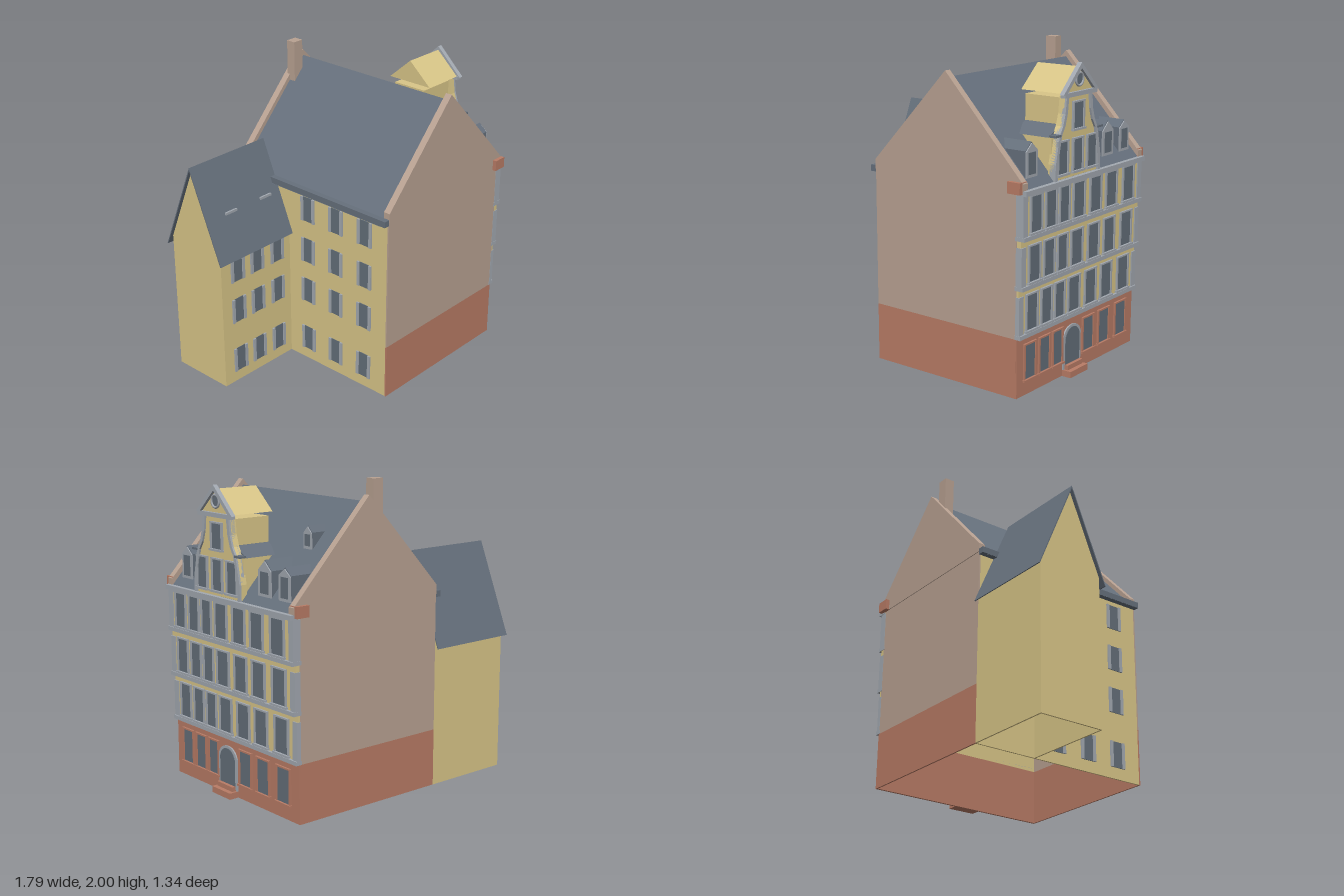
import * as THREE from 'three';

const mat = (name, color) => {
  const m = new THREE.MeshStandardMaterial({ color, side: THREE.DoubleSide });
  m.name = name;
  return m;
};

export function createModel() {
  const house = new THREE.Group();
  house.name = 'townhouse';
  const yellow = mat('yellow plaster', 0xd9c688);
  const brown = mat('brown plaster', 0xb9a292);
  const red = mat('red sandstone', 0xb97c66);
  const slate = mat('slate', 0x66707c);
  const stone = mat('pale stone', 0xa3a9b1);
  const glass = mat('window glass', 0x646f79);

  const add = (name, geo, m, parent = house) => {
    const mesh = new THREE.Mesh(geo, m);
    mesh.name = name;
    parent.add(mesh);
    return mesh;
  };
  // Box given by its limits on each axis
  const box = (name, m, x0, x1, y0, y1, z0, z1, parent) => {
    const b = add(name, new THREE.BoxGeometry(x1 - x0, y1 - y0, z1 - z0), m, parent);
    b.position.set((x0 + x1) / 2, (y0 + y1) / 2, (z0 + z1) / 2);
    return b;
  };
  const poly = pts => new THREE.Shape(pts.map(p => new THREE.Vector2(...p)));
  const extrude = (shape, depth) =>
    new THREE.ExtrudeGeometry(shape, { depth, bevelEnabled: false, curveSegments: 10 });
  // Outline in (z, y) pushed along x, centred on z = zc
  const alongX = (name, m, shape, x0, x1, zc) => {
    const e = add(name, extrude(shape, x1 - x0).rotateY(Math.PI / 2), m);
    e.position.set(x0, 0, zc);
    return e;
  };
  const alongZ = (name, m, shape, z0, z1) => {
    const e = add(name, extrude(shape, z1 - z0), m);
    e.position.z = z0;
    return e;
  };
  // Window facing its local +z: glass, jambs and optional lintel and sill
  const windowAt = (x, z, turn, w, y0, y1, trim, jamb = 0.013, full = true) => {
    const g = new THREE.Group();
    g.name = 'window';
    g.position.set(x, 0, z);
    g.rotation.y = turn;
    house.add(g);
    const h = w / 2;
    box('pane', glass, -h, h, y0, y1, -0.004, 0.004, g);
    for (const s of [-1, 1]) {
      const a = s * h, b = s * (h + jamb);
      box('jamb', trim, Math.min(a, b), Math.max(a, b), y0, y1, -0.004, 0.011, g);
    }
    if (!full) return;
    box('lintel', trim, -h - jamb, h + jamb, y1, y1 + 0.01, -0.004, 0.013, g);
    box('sill', trim, -h - jamb - 0.006, h + jamb + 0.006, y0 - 0.013, y0, -0.004, 0.018, g);
  };
  const EAST = Math.PI / 2;

  // Outer walls, open underneath
  for (const s of [-1, 1]) {
    const z0 = s > 0 ? 0.63 : -0.64;
    box('sideBase', red, -0.27, 0.82, 0, 0.37, z0, z0 + 0.01);
    box('sideWall', brown, -0.27, 0.82, 0.37, 1.25, z0, z0 + 0.01);
    // Gable with raised parapet
    const g0 = s > 0 ? 0.6 : -0.645;
    alongZ('gable', brown, poly([[-0.27, 1.25], [0.865, 1.25], [0.865, 1.31], [0.295, 1.91], [-0.27, 1.31]]), g0, g0 + 0.045);
    box('corbel', red, 0.77, 0.86, 1.25, 1.32, s > 0 ? 0.6 : -0.67, s > 0 ? 0.67 : -0.6);
  }
  box('rearWall', yellow, -0.27, -0.26, 0, 1.25, -0.63, 0.63);

  // Street front: slightly jettied storeys
  const columns = [[0.511, 0.1], [0.363, 0.095], [0.225, 0.09], [0.072, 0.11], [-0.111, 0.11], [-0.29, 0.11], [-0.489, 0.115]];
  const storeys = [[0, 0.37, 0.825, 0.1], [0.37, 0.67, 0.835, 0.41], [0.67, 0.97, 0.85, 0.71], [0.97, 1.25, 0.86, 1.01]];
  storeys.forEach(([y0, y1, fx, sill], i) => {
    box('frontWall', i ? yellow : red, 0.81, fx, y0, y1, -0.639, 0.639);
    columns.forEach(([z, w], c) => {
      if (i || c !== 3) windowAt(fx, z, EAST, w, sill, sill + 0.215, i ? stone : red);
    });
    if (!i) return;
    box('cornice', stone, 0.81, fx + 0.017, y0, y0 + 0.025, -0.643, 0.643);
    for (const s of [-0.62, 0.62])
      box('cornerPilaster', stone, 0.815, fx + 0.008, y0 + 0.025, i === 3 ? 1.24 : y0 + 0.26, s - 0.022, s + 0.022);
  });
  box('eavesCornice', stone, 0.83, 0.89, 1.24, 1.27, -0.645, 0.645);

  // Arched doorway and steps
  const arch = (w, y0, y1, top) => {
    const s = new THREE.Shape();
    s.moveTo(-w, y0);
    s.lineTo(w, y0);
    s.lineTo(w, y1);
    s.quadraticCurveTo(w * 0.75, top, 0, top);
    s.quadraticCurveTo(-w * 0.75, top, -w, y1);
    return s;
  };
  alongX('doorSurround', stone, arch(0.095, 0.04, 0.25, 0.315), 0.82, 0.834, 0.07);
  alongX('door', glass, arch(0.076, 0.07, 0.24, 0.3), 0.82, 0.838, 0.07);
  box('lowerStep', red, 0.82, 0.89, 0, 0.04, -0.025, 0.165);
  box('upperStep', red, 0.82, 0.86, 0.04, 0.07, -0.01, 0.15);

  // Main roof, rear gutter and chimney
  alongZ('mainRoof', slate, poly([[-0.31, 1.228], [0.295, 1.87], [0.865, 1.265], [0.85, 1.265], [0.295, 1.853], [-0.295, 1.228]]), -0.6, 0.6);
  box('rearGutter', slate, -0.31, -0.27, 1.23, 1.27, -0.642, 0.642);
  box('chimney', brown, 0.165, 0.24, 1.65, 2, -0.62, -0.555);

  // Small roof dormers: z, half width, sill, eaves, apex, back, front
  for (const [z, w, y0, y1, top, x0, x1] of [
    [0.495, 0.055, 1.32, 1.48, 1.53, 0.6, 0.815],
    [-0.312, 0.062, 1.32, 1.48, 1.54, 0.59, 0.815],
    [-0.502, 0.054, 1.32, 1.475, 1.52, 0.61, 0.815],
    [-0.405, 0.037, 1.59, 1.69, 1.73, 0.41, 0.565]]) {
    const pent = (k, a, b, c) => poly([[-k, a], [k, a], [k, b], [0, c], [-k, b]]);
    alongX('dormer', slate, pent(w, y0, y1, top), x0, x1 - 0.004, z);
    alongX('dormerFront', stone, pent(w, y0, y1 - 0.005, top - 0.008), x1 - 0.004, x1 + 0.003, z);
    box('dormerPane', glass, x1, x1 + 0.006, y0 + 0.018, y1 - 0.012, z - w * 0.62, z + w * 0.62);
  }

  // Great front dormer: two stages with lean-to shoulders
  const Z = 0.097;
  box('lowerStage', yellow, 0.57, 0.83, 1.25, 1.535, Z - 0.225, Z + 0.225);
  alongX('shoulderRoof', slate, poly([[-0.25, 1.53], [0.25, 1.53], [0.13, 1.59], [-0.13, 1.59]]), 0.57, 0.825, Z);
  box('upperStage', yellow, 0.565, 0.83, 1.53, 1.75, Z - 0.122, Z + 0.122);
  alongX('dormerRoof', yellow, poly([[-0.165, 1.78], [0.165, 1.78], [0, 1.925]]), 0.565, 0.85, Z);
  // Scrolled front wall with stone edging
  const side = [[0.24, 1.265], [0.237, 1.37], [0.218, 1.46], [0.2, 1.54], [0.168, 1.59], [0.146, 1.66], [0.134, 1.76]];
  const flip = pts => pts.map(([u, y]) => [-u, y]);
  alongX('scrolledFront', yellow, poly([...side, ...flip(side).reverse()]), 0.82, 0.86, Z);
  const edge = [...side, ...side.map(([u, y]) => [u - 0.024, y]).reverse()];
  for (const pts of [edge, flip(edge)]) alongX('scrollEdge', stone, poly(pts), 0.83, 0.873, Z);
  for (const s of [-1, 1])
    box('shoulderCap', slate, 0.83, 0.878, 1.532, 1.545, Z + s * 0.222 - 0.028, Z + s * 0.222 + 0.028);
  for (const d of [0.157, 0, -0.15]) windowAt(0.862, Z + d, EAST, 0.09, 1.305, 1.495, stone);
  windowAt(0.862, Z, EAST, 0.098, 1.56, 1.715, stone);

  // Pediment with round window
  box('pedimentCornice', stone, 0.85, 0.885, 1.755, 1.782, Z - 0.17, Z + 0.17);
  alongX('pedimentFace', yellow, poly([[-0.16, 1.78], [0.16, 1.78], [0, 1.925]]), 0.84, 0.865, Z);
  alongX('pedimentRake', stone, poly([[-0.185, 1.775], [0, 1.95], [0.185, 1.775], [0.15, 1.775], [0, 1.915], [-0.15, 1.775]]), 0.855, 0.885, Z);
  const ring = add('roundWindowFrame', new THREE.TorusGeometry(0.038, 0.008, 8, 24), stone);
  const disc = add('roundWindow', new THREE.CircleGeometry(0.036, 24), glass);
  for (const m of [ring, disc]) {
    m.rotation.y = EAST;
    m.position.set(0.869, 1.85, Z);
  }

  // Rear wing: thin walls, open underneath, steep roof
  box('wingFrontWall', yellow, -0.88, -0.27, 0, 0.97, -0.21, -0.2);
  box('wingBackWall', yellow, -0.88, -0.27, 0, 0.97, -0.64, -0.63);
  alongX('wingGable', yellow, poly([[-0.22, 0], [0.22, 0], [0.22, 0.965], [0, 1.488], [-0.22, 0.965]]), -0.88, -0.87, -0.42);
  alongX('wingRoof', slate, poly([[-0.25, 0.9], [0, 1.5], [0.25, 0.9], [0.243, 0.9], [0, 1.482], [-0.243, 0.9]]), -0.905, -0.27, -0.42);
  for (const x of [-0.7, -0.4])
    box('roofVent', stone, x - 0.048, x + 0.048, 1.168, 1.184, -0.31, -0.276);

  // Plain windows of the wing and the rear wall
  for (const y of [0.075, 0.44, 0.735]) {
    for (const x of [-0.742, -0.572, -0.392]) windowAt(x, -0.2, 0, 0.075, y, y + 0.17, stone, 0.02, false);
  }
  for (const y of [0.075, 0.44, 0.735, 1.03]) {
    for (const z of [-0.03, 0.21, 0.45]) windowAt(-0.27, z, -EAST, 0.075, y, y + 0.17, stone, 0.02, false);
  }
  return house;
}
